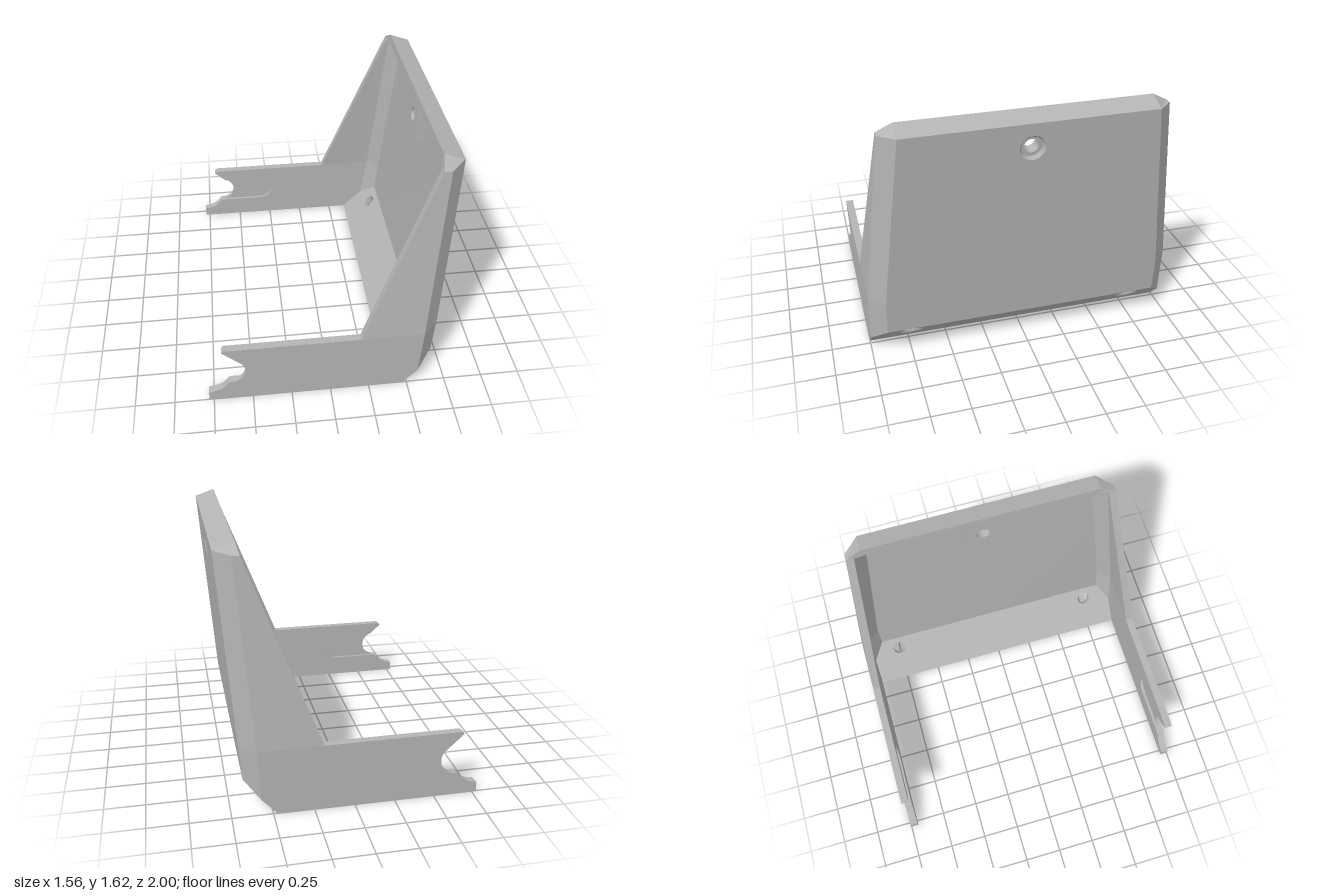
import * as THREE from 'three';
import { toCreasedNormals } from 'three/addons/utils/BufferGeometryUtils.js';

const V = (x, y, z) => new THREE.Vector3(x, y, z);
const grey = new THREE.MeshStandardMaterial({ color: 0xb4b4b4 });
grey.name = 'grey';

// Outer skin corners of one side (z > 0)
const outer = {
  a0: V(0.475, 0, 1), a1: V(0.568, 0.1, 1), a2: V(0.59, 0.425, 1), a3: V(0.682, 1.57, 0.88),
  p1: V(0.67, 0.197, 0.9), p2: V(0.688, 0.425, 0.9), p3: V(0.78, 1.58, 0.78),
  t: V(0.65, 1.625, 0.78), w2: V(0.19, 0.425, 1), w3: V(0.635, 1.57, 0.88),
};
// Matching inner skin corners
const inner = {
  a0: V(0.375, 0, 0.95), a1: V(0.515, 0.14, 0.95), a2: V(0.555, 0.425, 0.95), a3: V(0.65, 1.54, 0.83),
  p1: V(0.612, 0.235, 0.865), p2: V(0.632, 0.425, 0.865), p3: V(0.724, 1.54, 0.745),
  t: V(0.645, 1.57, 0.745), w2: V(0.19, 0.425, 0.95), w3: V(0.635, 1.57, 0.83),
};
// 'a1' is the left corner, '-a1' its mirror on the right
const pick = (set, names) => names.map((n) =>
  n[0] === '-' ? set[n.slice(1)].clone().multiply(V(1, 1, -1)) : set[n].clone());

const mean = (pts) => pts.reduce((s, p) => s.add(p), V(0, 0, 0)).divideScalar(pts.length);

function newell(pts) {
  const n = V(0, 0, 0);
  pts.forEach((p, i) => n.add(p.clone().cross(pts[(i + 1) % pts.length])));
  return n.normalize();
}

// Counterbore steps: radius and depth; the last step runs to the inner skin
const STEPS = [[0.08, 0], [0.068, 0.012], [0.068, 0.03], [0.045, 0.03], [0.045, null]];
const SEG = 28;

// Closed plate between an outer and an inner polygon, with optional counterbored holes
function slab(names, holes = []) {
  let o = pick(outer, names), k = pick(inner, names);
  if (newell(o).dot(mean(o).sub(mean(k))) < 0) { o.reverse(); k.reverse(); }
  const n = newell(o), nk = newell(k), ck = mean(k), co = mean(o);
  const u = V(0, 0, 1).cross(n).lengthSq() > 0.05 ? V(0, 0, 1) : V(1, 0, 0);
  u.addScaledVector(n, -u.dot(n)).normalize();
  const v = n.clone().cross(u);
  const pos = [];
  const tri = (...ps) => ps.forEach((p) => pos.push(p.x, p.y, p.z));
  const quad = (a, b, c, d) => { tri(a, b, c); tri(a, c, d); };

  const rings = holes.map((h) => {
    const c = h.clone().addScaledVector(n, co.clone().sub(h).dot(n));
    return STEPS.map(([r, depth]) => Array.from({ length: SEG }, (_, i) => {
      const a = (i / SEG) * Math.PI * 2;
      const p = c.clone().addScaledVector(u, r * Math.cos(a)).addScaledVector(v, r * Math.sin(a));
      const d = depth === null ? p.clone().sub(ck).dot(nk) / n.dot(nk) : depth;
      return p.addScaledVector(n, -d);
    }));
  });
  const flat = (pts) => pts.map((p) => new THREE.Vector2(p.dot(u), p.dot(v)));
  const cap = (poly, cuts, dir) => {
    const all = [...poly, ...cuts.flat()];
    for (const f of THREE.ShapeUtils.triangulateShape(flat(poly), cuts.map(flat))) {
      const [a, b, c] = f.map((i) => all[i]);
      const up = b.clone().sub(a).cross(c.clone().sub(a)).dot(dir) > 0;
      if (up) tri(a, b, c); else tri(a, c, b);
    }
  };
  cap(o, rings.map((r) => r[0]), n);
  cap(k, rings.map((r) => r[STEPS.length - 1]), n.clone().negate());
  o.forEach((p, i) => {
    const j = (i + 1) % o.length;
    quad(p, k[i], k[j], o[j]);
  });
  for (const r of rings) for (let s = 0; s + 1 < r.length; s++) for (let i = 0; i < SEG; i++) {
    const j = (i + 1) % SEG;
    quad(r[s][i], r[s][j], r[s + 1][j], r[s + 1][i]);
  }
  const g = new THREE.BufferGeometry();
  g.setAttribute('position', new THREE.Float32BufferAttribute(pos, 3));
  return toCreasedNormals(g, 0.4);
}

// Arm outline with a hooked open end; the grooved one has a long slot cut in
function armShape(grooved) {
  const s = new THREE.Shape();
  s.moveTo(-0.78, 0);
  for (const n of ['a0', 'a1', 'a2']) s.lineTo(outer[n].x, outer[n].y);
  s.lineTo(-0.665, 0.425);
  s.lineTo(-0.68, 0.41);
  if (grooved) {
    s.lineTo(-0.6, 0.335);
    s.lineTo(-0.325, 0.335);
    s.absarc(-0.325, 0.24, 0.095, Math.PI / 2, -Math.PI / 2, true);
  } else {
    s.lineTo(-0.562, 0.301);
    s.absarc(-0.635, 0.24, 0.095, 0.7, -Math.PI / 2, true);
  }
  s.lineTo(-0.635, 0.145);
  s.lineTo(-0.65, 0.138);
  s.quadraticCurveTo(-0.69, 0.072, -0.77, 0.068);
  s.lineTo(-0.78, 0.058);
  return s;
}

function extrude(shape, depth) {
  return toCreasedNormals(new THREE.ExtrudeGeometry(shape, { depth, bevelEnabled: false, curveSegments: 20 }), 0.5);
}

export function createModel() {
  const model = new THREE.Group();
  model.name = 'bracket';
  const add = (name, geometry, parent = model) => {
    const m = new THREE.Mesh(geometry, grey);
    m.name = name;
    parent.add(m);
    return m;
  };

  // Leaning back panel, sloped floor and top lip
  add('backPanel', slab(['p1', 'p2', 'p3', '-p3', '-p2', '-p1'], [V(0.767, 1.42, 0)]));
  add('slopedFloor', slab(['a0', 'a1', 'p1', '-p1', '-a1', '-a0'], [V(0.6, 0.13, 0.75), V(0.6, 0.13, -0.75)]));
  add('topLip', slab(['p3', 't', '-t', '-p3']));

  // Sides: arm, wing, corner bevels
  for (const [side, m] of [['left', ''], ['right', '-']]) {
    const g = new THREE.Group();
    g.name = side + 'Side';
    model.add(g);
    const part = (name, names) => add(name, slab(names.map((n) => m + n)), g);
    part('lowerBevel', ['a1', 'p1', 'p2', 'a2']);
    part('upperBevel', ['a2', 'p2', 'p3', 'a3']);
    part('wing', ['w2', 'a2', 'a3', 'w3']);
    part('topCorner', ['a3', 'p3', 't', 'w3']);
    add('armOuterLayer', extrude(armShape(false), 0.03), g).position.z = m ? -1 : 0.97;
    add('armGroovedLayer', extrude(armShape(true), 0.02), g).position.z = m ? -0.97 : 0.95;
  }

  // Screw boss behind the top hole, with its lower end tapered
  const s = new THREE.Shape();
  s.moveTo(-0.13, -0.14);
  s.lineTo(0.13, -0.14);
  s.lineTo(0.13, 0.13);
  s.lineTo(-0.13, 0.13);
  s.holes.push(new THREE.Path().absarc(0, 0, 0.045, 0, Math.PI * 2, true));
  const bg = new THREE.ExtrudeGeometry(s, { depth: 0.06, bevelEnabled: false, curveSegments: 14 });
  const bp = bg.attributes.position;
  for (let i = 0; i < bp.count; i++) {
    if (bp.getY(i) < -0.13 && bp.getZ(i) > 0.03) bp.setY(i, -0.09);
  }
  const inward = V(-0.997, 0.0795, 0).normalize();
  const up = V(0.0795, 0.997, 0).normalize();
  bg.applyMatrix4(new THREE.Matrix4().makeBasis(V(0, 0, 1), up, inward)
    .setPosition(V(0.767, 1.42, 0).addScaledVector(inward, 0.05)));
  add('screwBoss', toCreasedNormals(bg, 0.5));

  return model;
}
